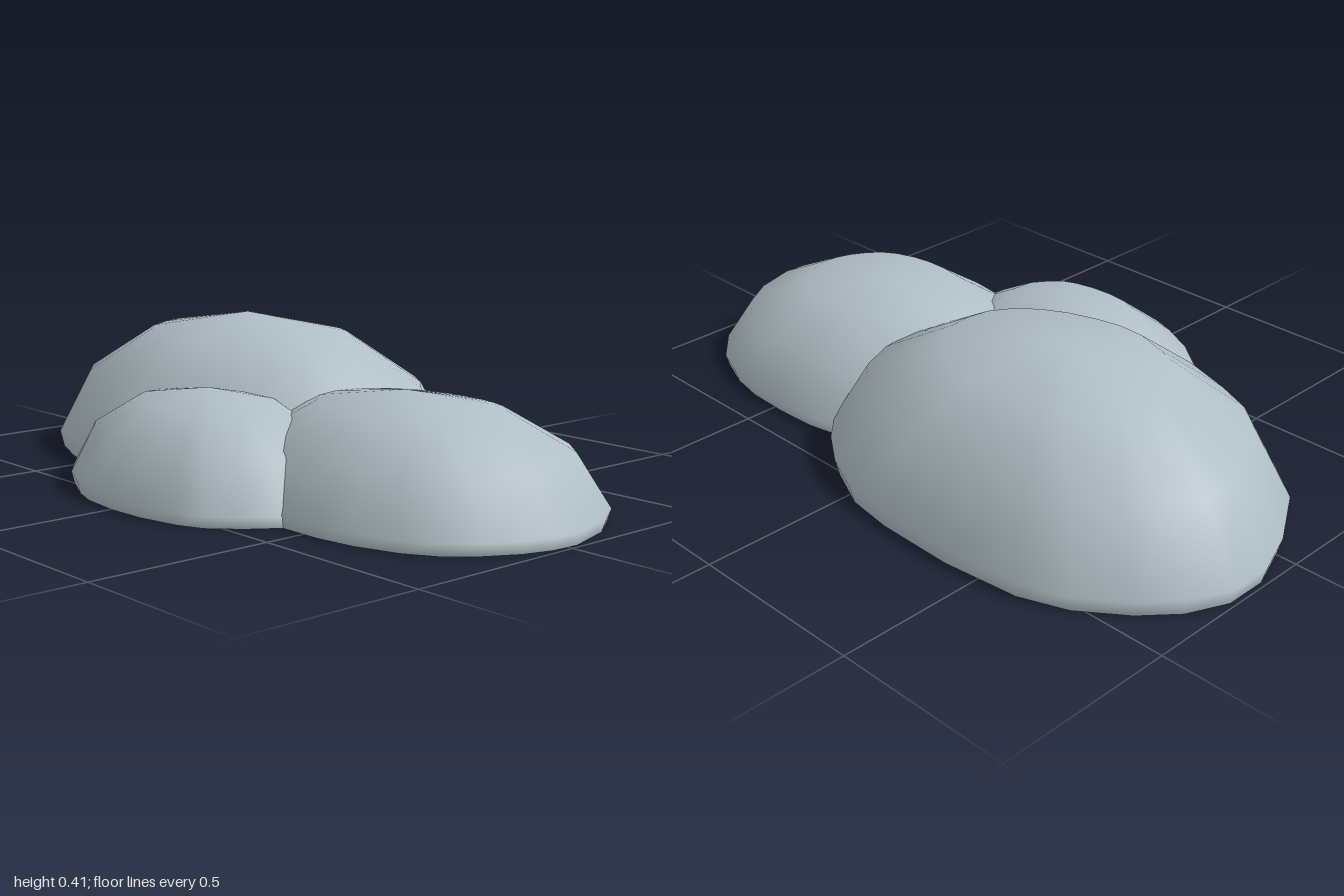
import * as THREE from 'three';

const stone = new THREE.MeshStandardMaterial({ color: 0xb0bec5 });
stone.name = 'pale blue grey';

// dome rows: [outline scale, height fraction]
const ROWS = [[0.98, 0], [1, 0.11], [0.83, 0.56], [0.495, 0.87]];

// Footprint outlines as [x, z] pairs, running from +x towards +z
const MOUNDS = [
  {
    name: 'largeMound', apex: [-0.33, -0.125], height: 0.412,
    outline: [
      [0.34, -0.13], [0.32, 0], [0.24, 0.13], [0.13, 0.22], [0, 0.29], [-0.15, 0.34], [-0.3, 0.37],
      [-0.45, 0.365], [-0.62, 0.31], [-0.75, 0.255], [-0.85, 0.175], [-0.95, 0.01], [-1, -0.12],
      [-1, -0.24], [-0.95, -0.35], [-0.87, -0.44], [-0.75, -0.53], [-0.62, -0.58], [-0.4, -0.604],
      [-0.17, -0.6], [-0.03, -0.58], [0.1, -0.52], [0.2, -0.45], [0.28, -0.37], [0.33, -0.25],
    ],
  },
  {
    name: 'sideMound', apex: [0.44, -0.01], height: 0.297,
    outline: [
      [1, -0.03], [0.995, 0.05], [0.97, 0.13], [0.92, 0.22], [0.86, 0.29], [0.78, 0.34], [0.66, 0.38],
      [0.55, 0.395], [0.43, 0.395], [0.25, 0.37], [0.06, 0.27], [-0.06, 0.13], [-0.1, -0.02],
      [-0.06, -0.18], [0.05, -0.3], [0.2, -0.38], [0.35, -0.41], [0.47, -0.415], [0.6, -0.41],
      [0.7, -0.39], [0.8, -0.35], [0.9, -0.265], [0.96, -0.17],
    ],
  },
  {
    name: 'frontMound', apex: [-0.01, 0.27], height: 0.275,
    outline: [
      [0.445, 0.27], [0.435, 0.39], [0.38, 0.47], [0.31, 0.54], [0.24, 0.57], [0.12, 0.595], [0, 0.6],
      [-0.12, 0.587], [-0.2, 0.56], [-0.32, 0.5], [-0.41, 0.43], [-0.46, 0.36], [-0.465, 0.26],
      [-0.42, 0.14], [-0.32, 0.04], [-0.18, -0.03], [0, -0.06], [0.17, -0.03], [0.31, 0.04], [0.41, 0.14],
    ],
  },
];

// Closed dome: shrinking copies of the outline, a single peak and a flat underside
function moundGeometry({ apex: [cx, cz], height, outline }) {
  const n = outline.length;
  const positions = [];
  const index = [];
  const addRing = (scale, y) => {
    for (const [x, z] of outline) positions.push(cx + (x - cx) * scale, y, cz + (z - cz) * scale);
  };

  for (const [scale, h] of ROWS) addRing(scale, h * height);
  const peak = positions.length / 3;
  positions.push(cx, height, cz);

  // separate vertices keep the bottom edge sharp
  const base = peak + 1;
  addRing(ROWS[0][0], 0);
  const middle = base + n;
  positions.push(cx, 0, cz);

  for (let j = 0; j < n; j++) {
    const k = (j + 1) % n;
    for (let r = 0; r < ROWS.length - 1; r++) {
      const a = r * n + j, b = r * n + k;
      index.push(a, a + n, b, b, a + n, b + n);
    }
    const last = (ROWS.length - 1) * n;
    index.push(last + j, peak, last + k);
    index.push(base + j, base + k, middle);
  }

  const geometry = new THREE.BufferGeometry();
  geometry.setAttribute('position', new THREE.Float32BufferAttribute(positions, 3));
  geometry.setIndex(index);
  geometry.computeVertexNormals();
  return geometry;
}

export function createModel() {
  const group = new THREE.Group();
  group.name = 'moundCluster';
  for (const mound of MOUNDS) {
    const mesh = new THREE.Mesh(moundGeometry(mound), stone);
    mesh.name = mound.name;
    group.add(mesh);
  }
  return group;
}
